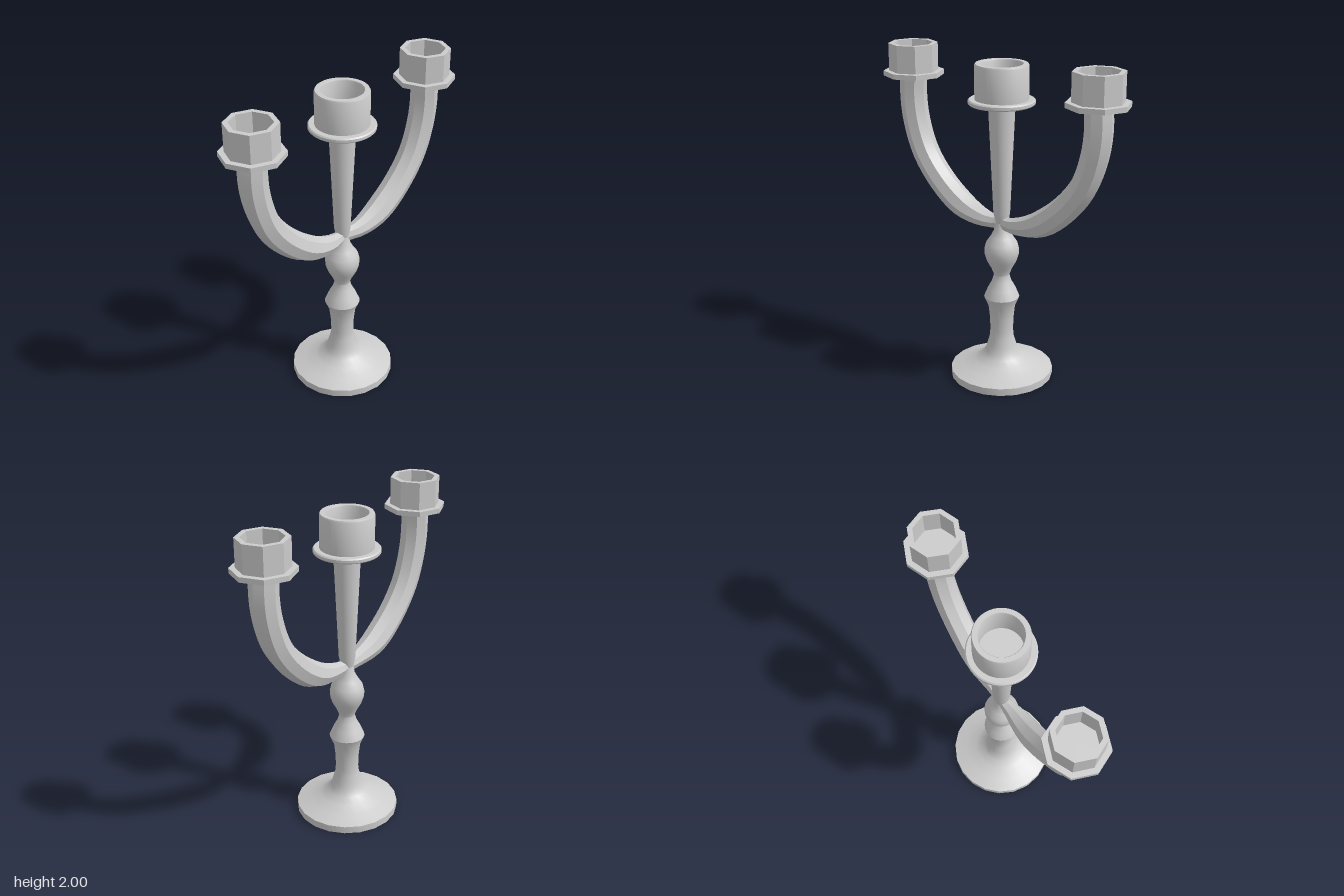
import * as THREE from 'three';
import { toCreasedNormals } from 'three/addons/utils/BufferGeometryUtils.js';

const material = new THREE.MeshStandardMaterial({ color: 0xcccccc, side: THREE.DoubleSide });

function addMesh(parent, name, geometry, crease = 0.6) {
  const mesh = new THREE.Mesh(toCreasedNormals(geometry, crease), material);
  mesh.name = name;
  parent.add(mesh);
  return mesh;
}

// Turned part from [radius, height] pairs
function turned(profile, sides) {
  return new THREE.LatheGeometry(profile.map(([r, y]) => new THREE.Vector2(r, y)), sides);
}

// Candle cup: flange plate, outer wall, rim and hollow inside
function cupProfile(flange, outer, inner, y0, y1, top) {
  return [[0, y0], [flange, y0], [flange, y1], [outer, y1], [outer, top],
    [inner, top], [inner, y1 + 0.01], [0, y1 + 0.01]];
}

// Eight-sided tube running in the xy plane, thin in the middle and full at the ends
function armsGeometry() {
  const half = [[0.1, 1.0], [0.27, 1.045], [0.44, 1.165], [0.58, 1.335],
    [0.65, 1.52], [0.672, 1.68], [0.665, 1.82]];
  const points = [
    ...half.slice().reverse().map(([x, y]) => new THREE.Vector3(-x, y, 0.014)),
    new THREE.Vector3(0, 0.998, 0.002),
    ...half.map(([x, y]) => new THREE.Vector3(x, y, 0.014)),
  ];
  const curve = new THREE.CatmullRomCurve3(points);
  const steps = 48, sides = 8, position = [], index = [];
  for (let i = 0; i <= steps; i++) {
    const c = curve.getPointAt(i / steps);
    const t = curve.getTangentAt(i / steps);
    const swell = THREE.MathUtils.smoothstep(Math.abs(c.x), 0, 0.36);
    const rn = THREE.MathUtils.lerp(0.043, 0.082, swell);
    const rz = THREE.MathUtils.lerp(0.03, 0.082, Math.sqrt(swell));
    for (let j = 0; j < sides; j++) {
      const a = (j / sides) * Math.PI * 2;
      const n = Math.cos(a) * rn;
      position.push(c.x - t.y * n, c.y + t.x * n, c.z + Math.sin(a) * rz);
      if (i < steps) {
        const p = i * sides + j, q = i * sides + (j + 1) % sides;
        index.push(p, q, p + sides, q, q + sides, p + sides);
      }
    }
  }
  const geometry = new THREE.BufferGeometry();
  geometry.setAttribute('position', new THREE.Float32BufferAttribute(position, 3));
  geometry.setIndex(index);
  return geometry;
}

export function createModel() {
  const model = new THREE.Group();
  model.name = 'candelabra';

  // Flared foot, open underneath, and the baluster above it
  addMesh(model, 'footAndBaluster', turned([
    [0.315, 0], [0.315, 0.045], [0.24, 0.07], [0.17, 0.1], [0.125, 0.13], [0.1, 0.165],
    [0.09, 0.2], [0.075, 0.25], [0.07, 0.3], [0.073, 0.38], [0.082, 0.46], [0.108, 0.52],
    [0.085, 0.575], [0.06, 0.62], [0.047, 0.665], [0.065, 0.71], [0.09, 0.755],
    [0.103, 0.795], [0.105, 0.83], [0.095, 0.87], [0.068, 0.91], [0.047, 0.95], [0.038, 1.0],
  ], 20), 0.7);

  // Tapered middle stem
  addMesh(model, 'middleStem', turned([[0.038, 1.0], [0.05, 1.06], [0.065, 1.4], [0.08, 1.73]], 20));

  // Round middle cup
  addMesh(model, 'middleCup', turned([
    [0, 1.72], [0.188, 1.72], [0.195, 1.727], [0.195, 1.743], [0.188, 1.75], [0.157, 1.75],
    [0.157, 1.945], [0.152, 1.955], [0.125, 1.955], [0.121, 1.948], [0.121, 1.77], [0, 1.77],
  ], 40));

  // Pair of curved arms in one sweep
  addMesh(model, 'arms', armsGeometry());

  // Octagonal cups on the arm ends
  for (const side of [-1, 1]) {
    const cup = addMesh(model, side > 0 ? 'leftCup' : 'rightCup',
      turned(cupProfile(0.182, 0.148, 0.118, 1.805, 1.835, 2.0), 8));
    cup.position.set(side * 0.664, 0, 0.015);
    cup.rotation.y = side > 0 ? -0.025 : 0.025;
  }
  return model;
}
